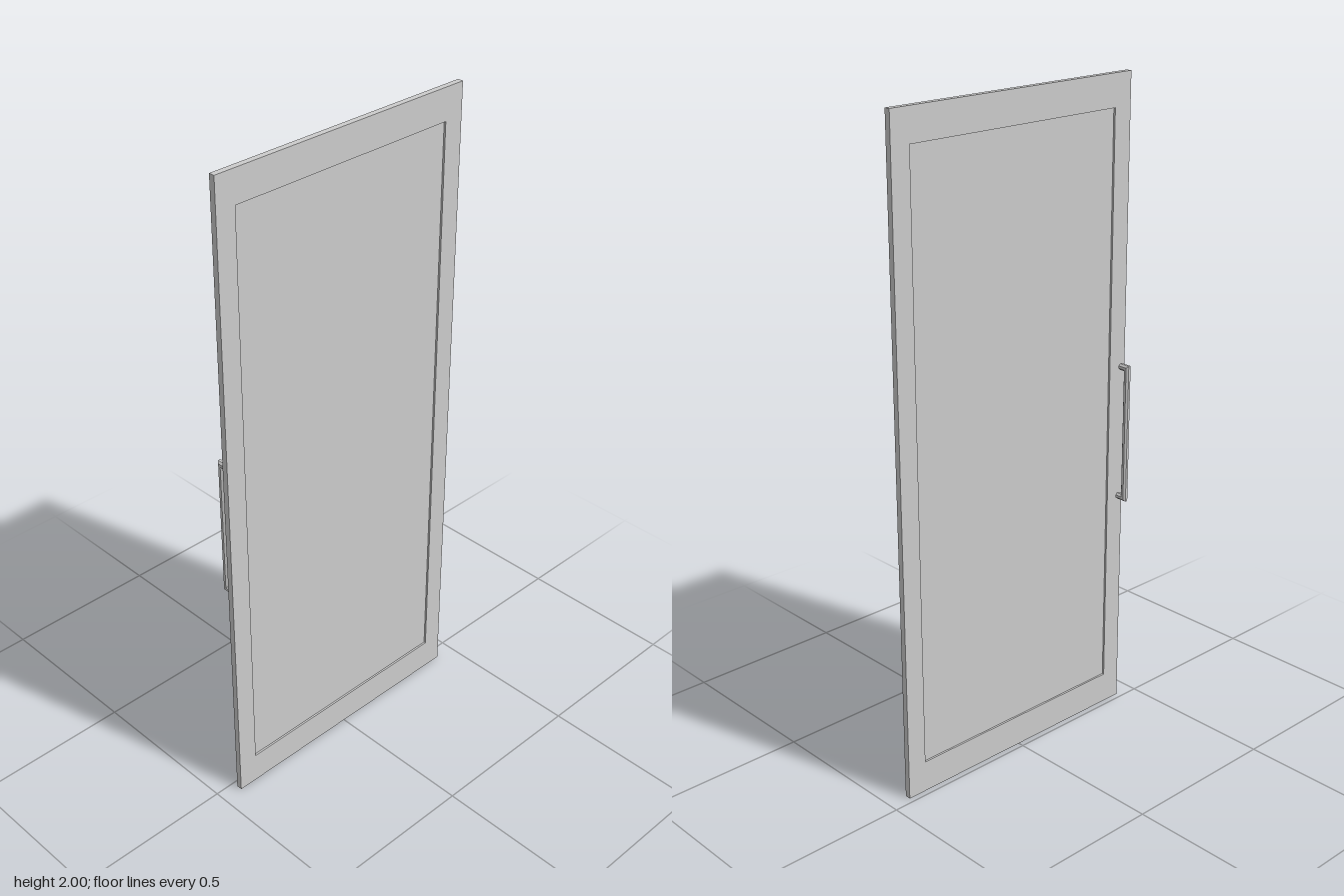
import * as THREE from 'three';

const material = new THREE.MeshStandardMaterial({ color: 0xcccccc, flatShading: true });

const HEIGHT = 2, WIDTH = 0.87, THICK = 0.018, DOOR_X = 0.027;
const STILE = 0.062, RAIL = 0.097, PANEL_THICK = 0.006;

function part(name, geometry) {
  const mesh = new THREE.Mesh(geometry, material);
  mesh.name = name;
  return mesh;
}

function rectangle(PathType, w, h) {
  return new PathType([[-w, -h], [w, -h], [w, h], [-w, h]].map(([x, y]) => new THREE.Vector2(x / 2, y / 2)));
}

// Octagonal bar swept through a bracket shape with mitred corners
function handleGeometry(top, bottom, reach, radius) {
  const sides = 8;
  // centre x, centre y, then the in-plane mitre direction
  const stations = [
    [0, top, 0, 1], [-reach, top, -1, 1], [-reach, bottom, -1, -1], [0, bottom, 0, -1],
  ];
  const r = radius / Math.cos(Math.PI / sides);
  const points = [], index = [];
  for (const [x, y, ux, uy] of stations) {
    for (let j = 0; j < sides; j++) {
      const a = ((j + 0.5) / sides) * Math.PI * 2;
      const u = r * Math.cos(a);
      points.push(x + ux * u, y + uy * u, r * Math.sin(a));
    }
  }
  const last = (stations.length - 1) * sides;
  for (let j = 0; j < sides; j++) {
    const k = (j + 1) % sides;
    for (let i = 0; i < last; i += sides) {
      index.push(i + j, i + sides + j, i + sides + k, i + j, i + sides + k, i + k);
    }
    // end caps as fans from the first ring corner
    if (j > 0 && k > 0) index.push(0, j, k, last, last + k, last + j);
  }
  let geometry = new THREE.BufferGeometry();
  geometry.setAttribute('position', new THREE.Float32BufferAttribute(points, 3));
  geometry.setIndex(index);
  geometry = geometry.toNonIndexed();
  geometry.computeVertexNormals();
  return geometry;
}

export function createModel() {
  const group = new THREE.Group();
  group.name = 'cabinetDoor';

  // Outer frame with a rectangular opening
  const outline = rectangle(THREE.Shape, WIDTH, HEIGHT);
  const openW = WIDTH - 2 * STILE, openH = HEIGHT - 2 * RAIL;
  outline.holes.push(rectangle(THREE.Path, openW, openH));
  const frame = part('doorFrame', new THREE.ExtrudeGeometry(outline, { depth: THICK, bevelEnabled: false })
    .translate(0, 0, -THICK / 2).rotateY(Math.PI / 2));
  frame.position.set(DOOR_X, HEIGHT / 2, 0);

  // Thin panel recessed on both faces
  const panel = part('doorPanel', new THREE.BoxGeometry(PANEL_THICK, openH, openW));
  panel.position.set(DOOR_X, HEIGHT / 2, 0);

  // Pull handle standing in front of the door face
  const handle = part('handle', handleGeometry(1.137, 0.72, 0.027, 0.0095));
  handle.position.z = 0.4;

  group.add(frame, panel, handle);
  return group;
}
